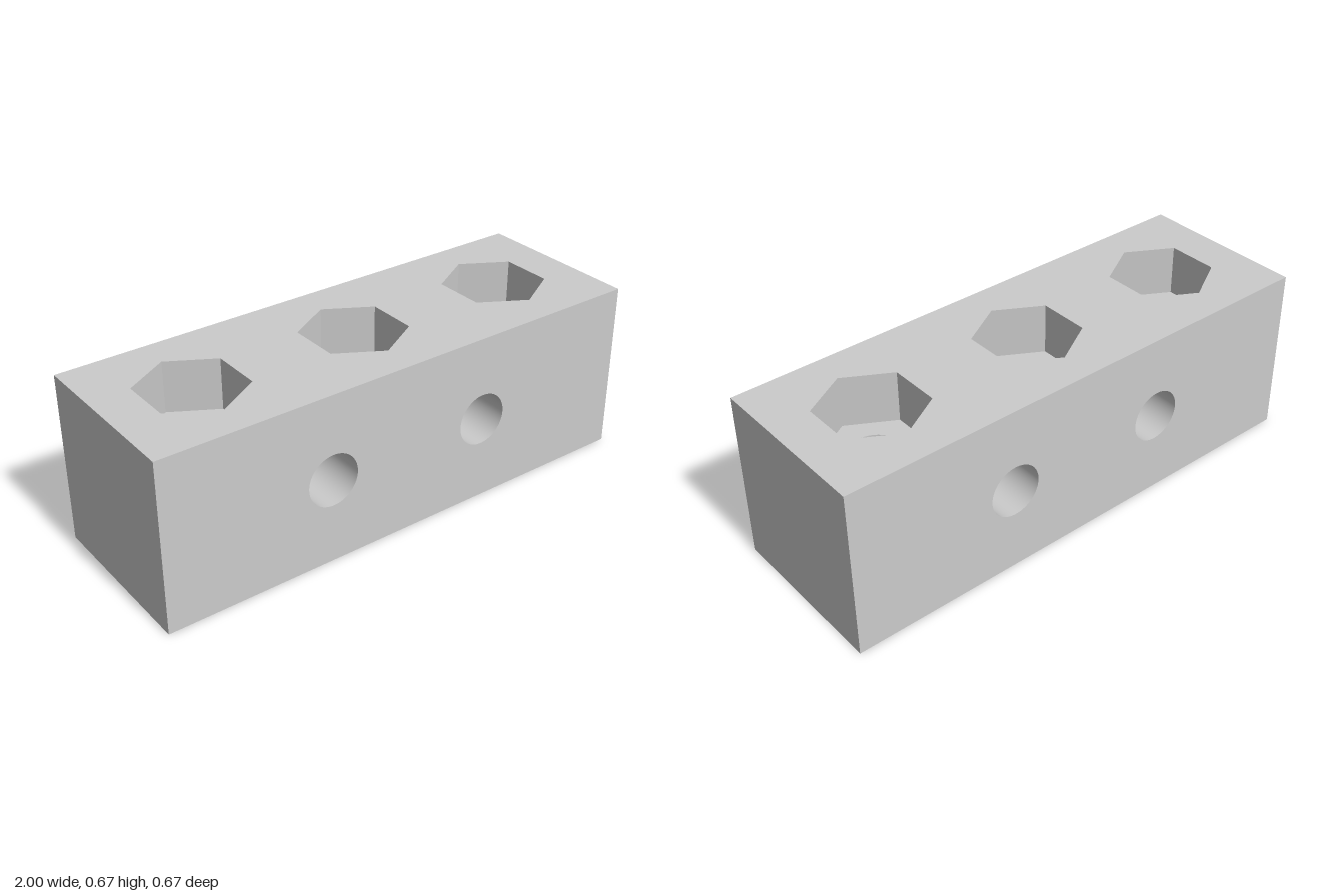
import * as THREE from 'three';

const L = 2, S = 2 / 3;                 // block length, square section
const BORE = 0.102, HEX = 0.2, DEPTH = 0.2;
const SEG = 64;
const verticalX = [-2 / 3, 0, 2 / 3];   // bores with hex pockets at both ends
const crossX = [-1 / 3, 1 / 3];         // plain bores front to back

const smooth = new THREE.MeshStandardMaterial({ color: 0xcccccc });
const flat = new THREE.MeshStandardMaterial({ color: 0xcccccc, flatShading: true });

// Regular polygon with a corner on the +y axis
function polygon(PathType, x, radius, sides) {
  const points = [];
  for (let i = 0; i < sides; i++) {
    const a = Math.PI / 2 + (i / sides) * Math.PI * 2;
    points.push(new THREE.Vector2(x + radius * Math.cos(a), radius * Math.sin(a)));
  }
  return new PathType(points);
}

// Rectangular face, centred, with polygonal holes
function panel(width, holes = []) {
  const w = width / 2, h = S / 2;
  const shape = new THREE.Shape([
    new THREE.Vector2(-w, -h), new THREE.Vector2(w, -h),
    new THREE.Vector2(w, h), new THREE.Vector2(-w, h),
  ]);
  shape.holes.push(...holes);
  return new THREE.ShapeGeometry(shape);
}

// Tube wall that faces inward
function innerWall(radius, length, sides) {
  const g = new THREE.CylinderGeometry(radius, radius, length, sides, 1, true);
  g.index.array.reverse();
  g.attributes.normal.array.forEach((v, i, a) => { a[i] = -v; });
  return g;
}

export function createModel() {
  const group = new THREE.Group();
  const add = (name, geometry, material, parent = group) => {
    const mesh = new THREE.Mesh(geometry, material);
    mesh.name = name;
    parent.add(mesh);
    return mesh;
  };

  // Outer faces
  const hexPanel = panel(L, verticalX.map(x => polygon(THREE.Path, x, HEX, 6)));
  const borePanel = panel(L, crossX.map(x => polygon(THREE.Path, x, BORE, SEG)));
  const endPanel = panel(S);
  for (const s of [1, -1]) {
    const cap = add(s > 0 ? 'topFace' : 'bottomFace', hexPanel, flat);
    cap.rotation.x = -s * Math.PI / 2;
    cap.position.y = s * S / 2;

    const side = add(s > 0 ? 'frontFace' : 'backFace', borePanel, flat);
    side.rotation.y = s > 0 ? 0 : Math.PI;
    side.position.z = s * S / 2;

    const end = add(s > 0 ? 'leftEnd' : 'rightEnd', endPanel, flat);
    end.rotation.y = s * Math.PI / 2;
    end.position.x = s * L / 2;
  }

  // Vertical bores with a hexagonal pocket at each end
  const floorShape = polygon(THREE.Shape, 0, HEX, 6);
  floorShape.holes.push(polygon(THREE.Path, 0, BORE, SEG));
  const floorGeometry = new THREE.ShapeGeometry(floorShape);
  const pocketGeometry = innerWall(HEX, DEPTH, 6);
  const shortBore = innerWall(BORE, S - 2 * DEPTH, SEG);
  for (const x of verticalX) {
    const hole = new THREE.Group();
    hole.name = 'verticalHole';
    hole.position.x = x;
    group.add(hole);
    add('verticalBore', shortBore, smooth, hole);
    for (const s of [1, -1]) {
      add('hexPocketWall', pocketGeometry, flat, hole).position.y = s * (S - DEPTH) / 2;
      const floor = add('hexPocketFloor', floorGeometry, flat, hole);
      floor.rotation.x = -s * Math.PI / 2;
      floor.position.y = s * (S / 2 - DEPTH);
    }
  }

  // Cross bores
  const longBore = innerWall(BORE, S, SEG);
  for (const x of crossX) {
    const bore = add('crossBore', longBore, smooth);
    bore.rotation.x = Math.PI / 2;
    bore.position.x = x;
  }

  // Stand the block on the ground
  group.children.forEach(part => { part.position.y += S / 2; });
  group.name = 'drilledBlock';
  return group;
}
